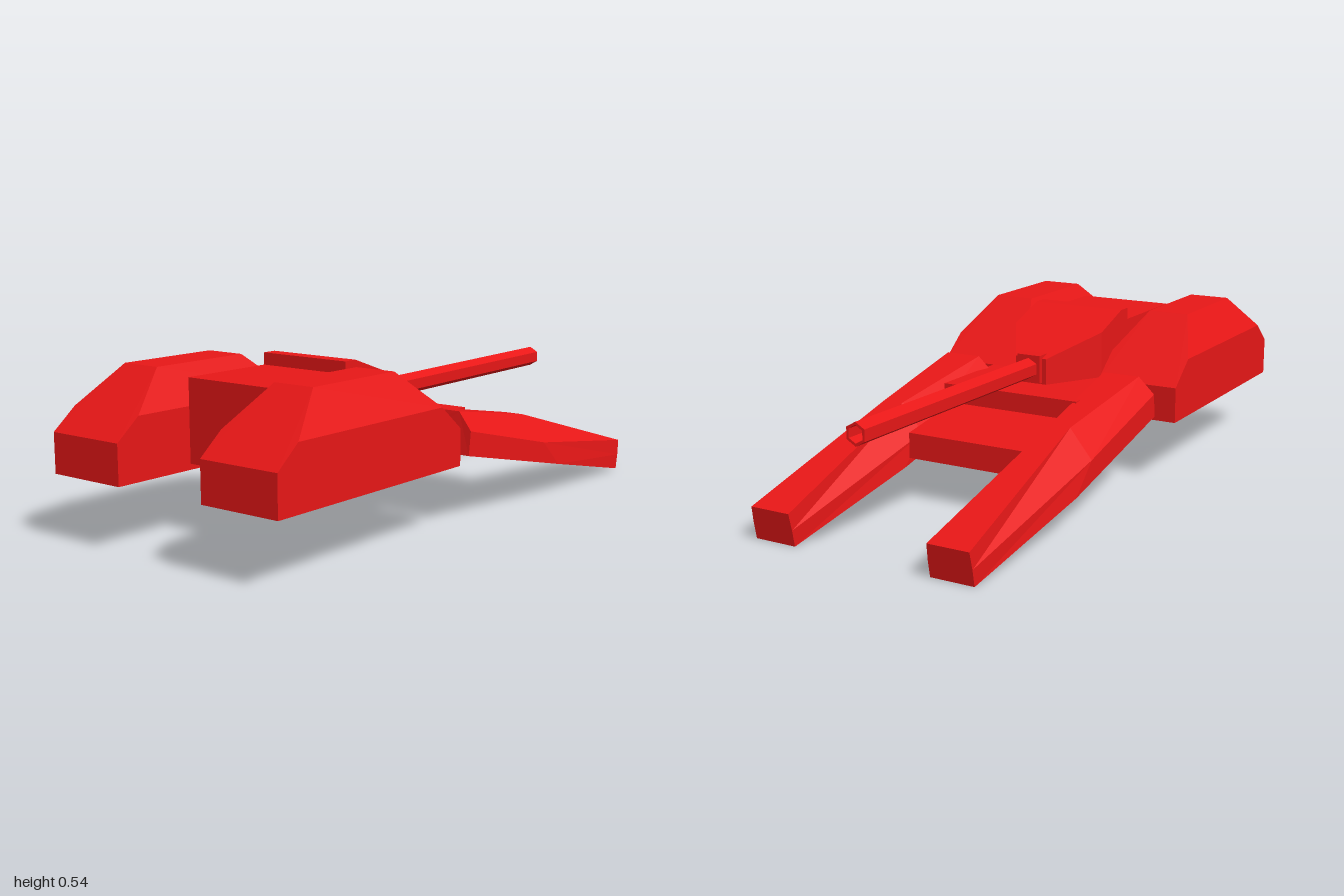
import * as THREE from 'three';
import { ConvexGeometry } from 'three/addons/geometries/ConvexGeometry.js';

const red = new THREE.MeshStandardMaterial({ color: 0xe81717, flatShading: true, side: THREE.DoubleSide });

function part(name, geometry, parent) {
  const mesh = new THREE.Mesh(geometry, red);
  mesh.name = name;
  parent.add(mesh);
  return mesh;
}

// Convex solid from points [x, y, half width], each mirrored in z
function hull(points) {
  const corners = points.flatMap(([x, y, w]) => [new THREE.Vector3(x, y, w), new THREE.Vector3(x, y, -w)]);
  return new ConvexGeometry(corners);
}

// Skin closed rings of equal length and cap both ends
function loft(rings) {
  const n = rings[0].length;
  const index = [];
  for (let r = 0; r < rings.length - 1; r++) {
    for (let i = 0; i < n; i++) {
      const a = r * n + i, b = r * n + (i + 1) % n;
      index.push(a, b, a + n, b, b + n, a + n);
    }
  }
  const last = (rings.length - 1) * n;
  for (let i = 1; i < n - 1; i++) {
    index.push(0, i + 1, i, last, last + i, last + i + 1);
  }
  const g = new THREE.BufferGeometry();
  g.setAttribute('position', new THREE.Float32BufferAttribute(rings.flat(2), 3));
  g.setIndex(index);
  const flat = g.toNonIndexed();
  flat.computeVertexNormals();
  return flat;
}

export function createModel() {
  const model = new THREE.Group();
  model.name = 'hoverTank';

  // Rear pods: chamfered blocks on each side
  const podShape = hull([
    [-1, 0.21, 0.143], [-0.15, 0.21, 0.143],
    [-1, 0.34, 0.143], [-0.15, 0.33, 0.143],
    [-0.915, 0.41, 0.143], [-0.25, 0.41, 0.143],
    [-0.77, 0.532, 0.072], [-0.4, 0.532, 0.072],
  ]);
  part('leftRearPod', podShape, model).position.z = -0.315;
  part('rightRearPod', podShape, model).position.z = 0.31;

  // Front legs: six-sided, sloping down and tapering to the tip
  // Section: top, crease and bottom as [x, y, half width]
  const sections = [
    [[-0.09, 0.37, 0.065], [-0.1, 0.313, 0.117], [-0.11, 0.235, 0.117]],
    [[0.34, 0.295, 0.036], [0.35, 0.205, 0.117], [0.45, 0.112, 0.117]],
    [[0.98, 0.107, 0.07], [0.97, 0.053, 0.073], [0.96, 0, 0.073]],
  ];
  const legShape = loft(sections.map((s) => [
    ...s.map(([x, y, w]) => [x, y, w]),
    ...[...s].reverse().map(([x, y, w]) => [x, y, -w]),
  ]));
  part('leftFrontLeg', legShape, model).position.z = -0.285;
  part('rightFrontLeg', legShape, model).position.z = 0.341;

  // Central hull, raised rear deck and sloping front plate
  part('centralHull', hull([
    [-0.5, 0.23, 0.252], [0.17, 0.23, 0.252],
    [-0.5, 0.33, 0.252], [0.17, 0.33, 0.252],
  ]), model);
  part('rearDeck', hull([
    [-0.71, 0.23, 0.17], [-0.3, 0.23, 0.17],
    [-0.71, 0.5, 0.17], [-0.3, 0.5, 0.17],
  ]), model);
  part('frontPlate', hull([
    [-0.1, 0.23, 0.22], [0.43, 0.14, 0.22],
    [-0.1, 0.31, 0.22], [0.43, 0.225, 0.22],
  ]), model);

  // Turret: wedge with a sloping roof, narrowing to the gun
  const turret = new THREE.Group();
  turret.name = 'turret';
  model.add(turret);
  part('turretBody', hull([
    [-0.37, 0.33, 0.17], [-0.37, 0.54, 0.17], [-0.32, 0.54, 0.17],
    [-0.17, 0.487, 0.17], [-0.17, 0.33, 0.17],
    [0.02, 0.418, 0.058], [0.02, 0.33, 0.058],
  ]), turret);
  part('gunMount', new THREE.BoxGeometry(0.07, 0.095, 0.086), turret).position.set(0.003, 0.383, 0);

  // Gun barrel: six-sided tube with a hollow muzzle
  const profile = [[0, 0], [0.036, 0], [0.036, 0.98], [0.027, 0.98], [0.027, 0.86], [0, 0.86]];
  const barrelShape = new THREE.LatheGeometry(profile.map(([r, y]) => new THREE.Vector2(r, y)), 6);
  barrelShape.rotateY(Math.PI / 2);
  barrelShape.rotateZ(-Math.PI / 2 + 0.01);
  part('gunBarrel', barrelShape, turret).position.set(0.02, 0.384, 0);

  return model;
}
